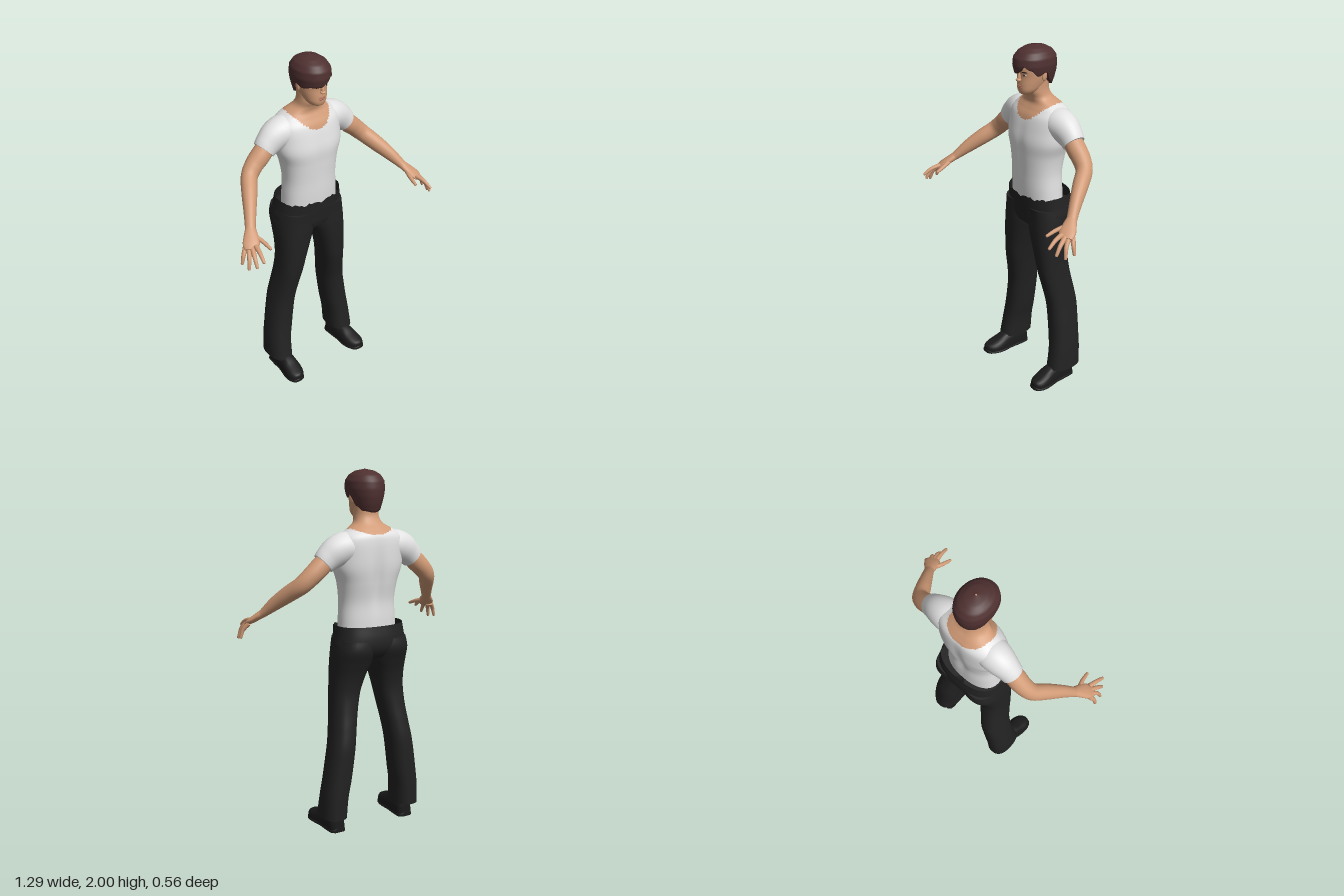
import * as THREE from 'three';

const mat = (name, color) => {
  const m = new THREE.MeshStandardMaterial({ color, side: THREE.DoubleSide });
  m.name = name;
  return m;
};
const M = {
  skin: mat('skin', 0xd09a76), shirt: mat('white cotton', 0xe2e2e2), pants: mat('black cloth', 0x222223),
  shoe: mat('black leather', 0x1b1b1c), hair: mat('brown hair', 0x4f3030),
  lips: mat('lips', 0xa96a56), brow: mat('dark brow', 0x2e1f1c), eye: mat('eye white', 0xcfc4ba),
};

// Smooth interpolation of a table of cross-sections, t from 0 to 1
function sampler(rows) {
  const cols = rows[0].map((_, c) => new THREE.SplineCurve(rows.map((r, i) => new THREE.Vector2(i, r[c]))));
  return t => cols.map(c => c.getPoint(t).y);
}

// Closed-around surface from rings; pick() chooses a material per face, caps close the ends
function surface(nu, nv, fn, { caps = false, pick = null } = {}) {
  const pos = [], groups = [[], []];
  for (let j = 0; j <= nv; j++)
    for (let i = 0; i < nu; i++) pos.push(...fn((i / nu) * Math.PI * 2, j / nv));
  for (let j = 0; j < nv; j++)
    for (let i = 0; i < nu; i++) {
      const k = (i + 1) % nu, a = j * nu + i, b = a + nu, c = j * nu + k, d = c + nu;
      const mid = [0, 1, 2].map(n => (pos[a * 3 + n] + pos[d * 3 + n]) / 2);
      groups[pick ? pick(...mid) : 0].push(a, b, c, b, d, c);
    }
  if (caps) for (const j of [0, nv]) {
    const base = pos.length / 3, mid = [0, 0, 0];
    for (let i = 0; i < nu; i++) for (let n = 0; n < 3; n++) {
      const v = pos[(j * nu + i) * 3 + n];
      pos.push(v);
      mid[n] += v / nu;
    }
    pos.push(...mid);
    for (let i = 0; i < nu; i++) {
      const p = base + i, q = base + (i + 1) % nu;
      groups[0].push(base + nu, j ? q : p, j ? p : q);
    }
  }
  const g = new THREE.BufferGeometry();
  g.setAttribute('position', new THREE.Float32BufferAttribute(pos, 3));
  g.setIndex([...groups[0], ...groups[1]]);
  if (pick) {
    g.addGroup(0, groups[0].length, 0);
    g.addGroup(groups[0].length, groups[1].length, 1);
  }
  g.computeVertexNormals();
  return g;
}

const bend = (v, p) => Math.sign(v) * Math.abs(v) ** (2 / p);

// Upright body: rows of [y, xMin, xMax, zBack, zFront], listed upwards
function upright(rows, nu, nv, p, opts = {}) {
  const at = sampler(rows);
  return surface(nu, nv, (a, t) => {
    const [y, x0, x1, z0, z1] = at(t);
    const v = [(x0 + x1) / 2 + (x1 - x0) / 2 * bend(Math.cos(a), p), y,
      (z0 + z1) / 2 + (z1 - z0) / 2 * bend(Math.sin(a), p)];
    return opts.shape ? opts.shape(v, a, t) : v;
  }, opts);
}

// Limb along a path: rows of [x, y, z, half width, half thickness]
function limb(rows, nu, nv) {
  const at = sampler(rows), Y = new THREE.Vector3(0, 1, 0);
  const path = new THREE.CatmullRomCurve3(rows.map(r => new THREE.Vector3(r[0], r[1], r[2])));
  return surface(nu, nv, (a, t) => {
    const r = at(t), T = path.getTangent(t);
    const A = new THREE.Vector3().crossVectors(Y, T).normalize();
    const B = new THREE.Vector3().crossVectors(T, A);
    return new THREE.Vector3(r[0], r[1], r[2]).addScaledVector(A, r[3] * Math.cos(a))
      .addScaledVector(B, -r[4] * Math.sin(a)).toArray();
  }, { caps: true });
}

function mirrored(geo) {
  const g = geo.clone().scale(-1, 1, 1), ix = g.index.array;
  for (let i = 0; i < ix.length; i += 3) [ix[i], ix[i + 1]] = [ix[i + 1], ix[i]];
  return g;
}

// Shoe: rows of [z, centre x, half width, height], from toe to heel, flat underneath
function shoe(rows, y0) {
  const at = sampler(rows);
  return surface(24, 32, (a, t) => {
    const [z, x, w, h] = at(t), s = Math.sin(a);
    return [x + w * bend(Math.cos(a), 2.6), y0 + h * (s > 0 ? s ** 0.75 : 0), z];
  }, { caps: true });
}

export function createModel() {
  const root = new THREE.Group();
  const add = (name, geo, m) => {
    const mesh = new THREE.Mesh(geo, m);
    mesh.name = name;
    root.add(mesh);
    return mesh;
  };
  const pair = (name, geo, m) => {
    add('left' + name, geo, m);
    add('right' + name, mirrored(geo), m);
  };
  const ball = (x, y, z, sx, sy, sz, ry = 0, rx = 0) =>
    new THREE.SphereGeometry(1, 20, 12).scale(sx, sy, sz).rotateX(rx).rotateY(ry).translate(x, y, z);
  const sym = rows => rows.map(([y, r, zb, zf]) => [y, -r, r, zb, zf]);

  // Torso and neck, split at the scooped neckline, with a spine groove and chest
  add('torsoAndNeck', upright(sym([
    [1.1, .17, -.22, -.005], [1.2, .165, -.222, .002], [1.3, .16, -.222, .006], [1.4, .172, -.238, .012],
    [1.48, .197, -.248, .015], [1.55, .2, -.25, .003], [1.62, .198, -.247, -.016], [1.66, .172, -.238, -.04],
    [1.69, .125, -.213, -.055], [1.72, .08, -.185, -.05], [1.76, .067, -.165, -.035], [1.82, .066, -.165, -.04],
  ]), 72, 110, 2.3, {
    shape: ([x, y, z], a) => {
      const fade = Math.exp(-(((y - 1.42) / .17) ** 2)), s = Math.sin(a);
      const groove = Math.exp(-((x / .03) ** 2));
      return [x, y, z + fade * groove * (s < 0 ? .018 : -.006)];
    },
    pick: (x, y, z) => (z > -.13 ? y > 1.6 + .1 * (x / .13) ** 2 : y > 1.662 + .035 * (x / .13) ** 2) ? 1 : 0,
  }), [M.shirt, M.skin]);

  // Sleeves and arms
  pair('Sleeve', limb([
    [.1, 1.595, -.135, .085, .08], [.155, 1.592, -.137, .088, .086], [.205, 1.573, -.138, .08, .084],
    [.25, 1.542, -.136, .067, .073], [.278, 1.516, -.134, .061, .063],
  ], 32, 24), M.shirt);
  pair('Arm', limb([
    [.25, 1.545, -.134, .05, .05], [.3, 1.495, -.132, .054, .054], [.35, 1.45, -.128, .05, .051],
    [.395, 1.405, -.108, .045, .048], [.44, 1.355, -.045, .042, .045], [.488, 1.297, .025, .034, .037],
    [.53, 1.24, .085, .028, .024], [.545, 1.222, .108, .032, .02],
  ], 24, 48), M.skin);

  // Hands
  pair('Palm', limb([
    [.53, 1.24, .085, .027, .023], [.55, 1.216, .118, .038, .02], [.57, 1.193, .148, .044, .017],
    [.585, 1.175, .172, .036, .012],
  ], 20, 16), M.skin);
  const fingers = {
    Thumb: [[.538, 1.215, .115], [.517, 1.198, .175], [.508, 1.178, .23]],
    IndexFinger: [[.562, 1.19, .178], [.573, 1.178, .23], [.582, 1.15, .275]],
    MiddleFinger: [[.578, 1.18, .17], [.598, 1.152, .218], [.606, 1.112, .248]],
    RingFinger: [[.59, 1.176, .155], [.615, 1.143, .192], [.63, 1.092, .208]],
    LittleFinger: [[.598, 1.178, .135], [.624, 1.143, .152], [.637, 1.1, .156]],
  };
  for (const [name, [a, b, c]] of Object.entries(fingers)) {
    const end = c.map((v, i) => v + (c[i] - b[i]) * .06);
    pair(name, limb([[...a, .014, .013], [...b, .0115, .011], [...c, .008, .008], [...end, .002, .002]], 12, 15), M.skin);
  }

  // Trousers: hips with an uneven waist edge, then flared legs
  add('trouserHips', upright(sym([
    [.985, .17, -.225, -.012], [1.02, .205, -.255, -.002], [1.06, .21, -.273, .002], [1.11, .202, -.272, .006],
    [1.165, .195, -.26, .009],
  ]), 72, 24, 2.5, {
    shape: ([x, y, z], a, t) => {
      const front = Math.max(0, Math.sin(a)), top = t ** 6;
      return [x, y + top * (.008 - front * (.012 + .012 * Math.sin(a * 19) * Math.sin(a * 7))), z];
    },
  }), M.pants);
  pair('TrouserLeg', upright([
    [.085, .165, .305, -.235, -.03], [.2, .158, .298, -.238, -.05], [.3, .14, .285, -.24, -.06],
    [.4, .127, .27, -.243, -.062], [.5, .115, .253, -.243, -.058], [.6, .1, .237, -.228, -.04],
    [.7, .081, .225, -.21, -.02], [.8, .058, .219, -.201, -.01], [.89, .03, .217, -.217, -.003],
    [.97, .003, .216, -.247, 0], [1.04, -.002, .211, -.276, 0], [1.1, 0, .2, -.27, .002],
  ], 36, 66, 2.5, { caps: true }), M.pants);

  // Shoes with separate soles
  pair('Shoe', shoe([
    [.098, .24, .012, .025], [.088, .239, .034, .036], [.06, .236, .051, .047], [.02, .232, .056, .062],
    [-.03, .228, .052, .085], [-.1, .225, .047, .1], [-.17, .223, .045, .09], [-.195, .223, .028, .07],
  ], .012), M.shoe);
  pair('Sole', shoe([
    [.102, .24, .014, .018], [.09, .239, .038, .02], [.05, .236, .056, .02], [0, .231, .058, .02],
    [-.06, .227, .05, .02], [-.12, .225, .05, .022], [-.18, .223, .046, .025], [-.2, .223, .026, .025],
  ], 0), M.shoe);

  // Head
  add('head', upright(sym([
    [1.742, .024, -.065, -.004], [1.75, .04, -.085, .007], [1.77, .056, -.11, .013], [1.8, .067, -.15, .014],
    [1.84, .076, -.18, .012], [1.88, .08, -.195, .017], [1.92, .08, -.2, .012], [1.96, .065, -.18, -.01],
    [1.985, .03, -.13, -.06],
  ]), 40, 48, 2.2, { caps: true }), M.skin);
  add('noseBridge', ball(0, 1.842, .012, .009, .028, .014, 0, -.25), M.skin);
  add('noseTip', ball(0, 1.826, .02, .016, .009, .015), M.skin);
  add('upperLip', ball(0, 1.793, .013, .024, .004, .007), M.lips);
  add('lowerLip', ball(0, 1.785, .012, .02, .005, .007), M.lips);
  pair('Ear', ball(.081, 1.85, -.09, .009, .032, .019, .25, -.15), M.skin);
  pair('Eye', ball(.032, 1.855, .005, .013, .005, .004, .35), M.eye);
  pair('Iris', ball(.032, 1.855, .0085, .005, .005, .002, .35), M.brow);
  pair('Eyebrow', ball(.034, 1.87, .007, .018, .004, .005, .35), M.brow);

  // Hair: a swept fringe given by the lower edge height around the head
  const edge = [[0, 1.868], [20, 1.85], [42, 1.885], [62, 1.905], [82, 1.872], [98, 1.858], [130, 1.86], [158, 1.85],
    [180, 1.868], [200, 1.81], [225, 1.785], [270, 1.775], [315, 1.785], [340, 1.81], [360, 1.868]];
  const edgeAt = deg => {
    const i = Math.max(1, edge.findIndex(e => e[0] >= deg)), [a, b] = [edge[i - 1], edge[i]];
    return THREE.MathUtils.lerp(a[1], b[1], THREE.MathUtils.smoothstep(deg, a[0], b[0]));
  };
  const shell = [[1.77, .07, -.185, .02], [1.82, .083, -.203, .022], [1.86, .093, -.212, .03], [1.9, .1, -.215, .039],
    [1.94, .097, -.209, .034], [1.97, .079, -.187, .008], [1.99, .05, -.15, -.03], [2, .004, -.094, -.086]];
  const hairAt = y => {
    const i = Math.max(1, shell.findIndex(s => s[0] >= y - 1e-6)), [a, b] = [shell[i - 1], shell[i]];
    return a.map((v, n) => THREE.MathUtils.lerp(v, b[n], (y - a[0]) / (b[0] - a[0])));
  };
  add('hair', surface(72, 30, (a, t) => {
    const s = Math.max(0, (t - 1 / 30) / (29 / 30));
    const y = THREE.MathUtils.lerp(edgeAt(a * 180 / Math.PI), 2, 1 - (1 - s) ** 1.6);
    const [, r, zb, zf] = hairAt(Math.min(y, 2)), k = t === 0 ? .8 : 1;
    return [k * r * bend(Math.cos(a), 2.1), y, (zb + zf) / 2 + k * (zf - zb) / 2 * bend(Math.sin(a), 2.1)];
  }, { caps: false }), M.hair);

  root.name = 'standingMan';
  return root;
}
